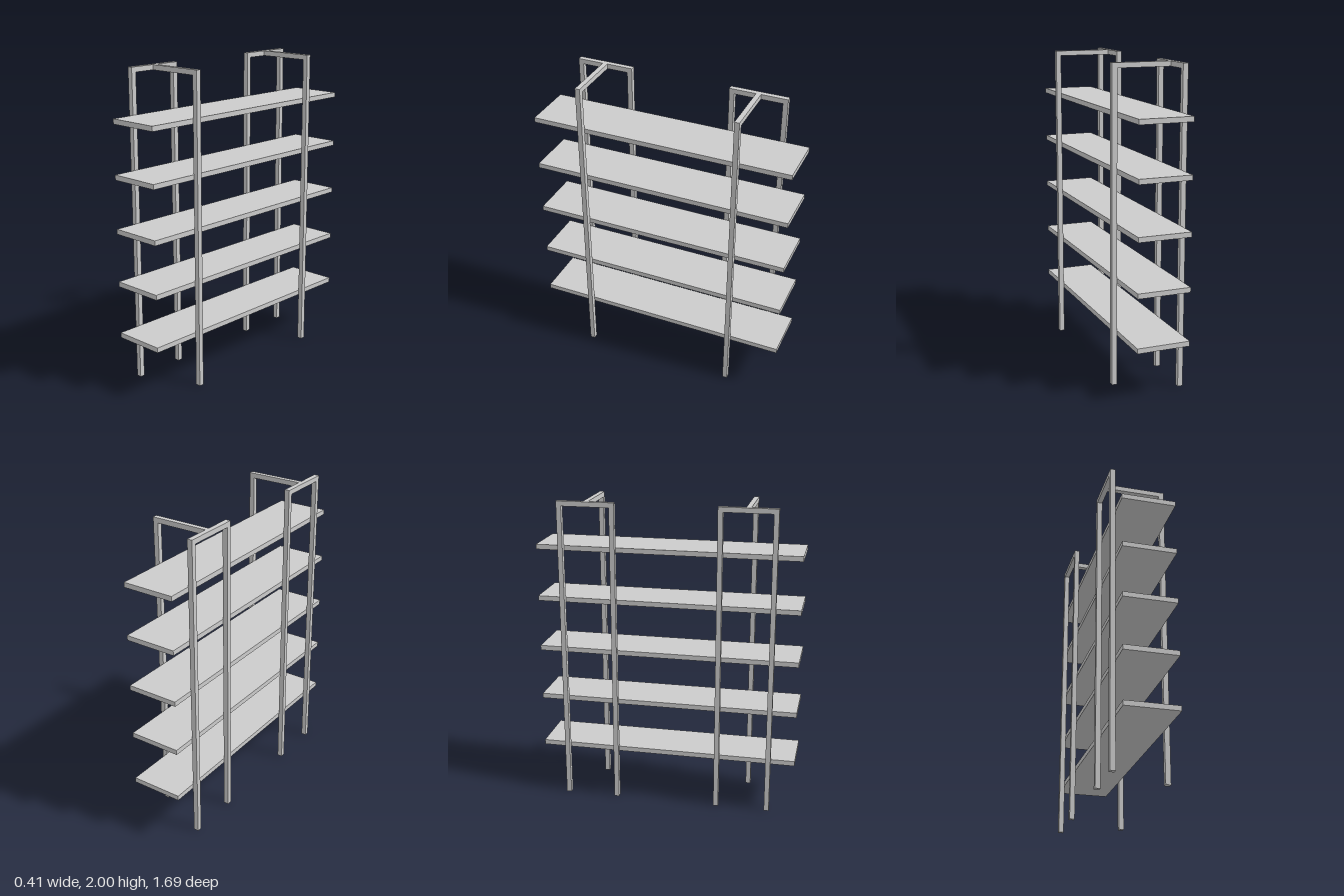
import * as THREE from 'three';

const material = new THREE.MeshStandardMaterial({ color: 0xcccccc });

// Box given by its min and max corners
function box(name, [x0, y0, z0], [x1, y1, z1]) {
  const mesh = new THREE.Mesh(new THREE.BoxGeometry(x1 - x0, y1 - y0, z1 - z0), material);
  mesh.position.set((x0 + x1) / 2, (y0 + y1) / 2, (z0 + z1) / 2);
  mesh.name = name;
  return mesh;
}

const H = 2;          // overall height
const T = 0.032;      // bar thickness
const X = 0.203;      // outer face of the posts
const XI = 0.17;      // inner face of the posts, edge of the shelves
const HALF = 0.185;   // half width of the rear hoop

// Rear hoop with two posts, plus one opposite post joined by a top bar
function supportFrame(z) {
  const frame = new THREE.Group();
  frame.name = 'supportFrame';
  for (const s of [-1, 1]) {
    const c = s * (HALF - T / 2);
    frame.add(box('hoopPost', [-X, 0, c - T / 2], [-XI, H - T, c + T / 2]));
  }
  frame.add(box('hoopTopBar', [-X, H - T, -HALF], [-XI, H, HALF]));
  frame.add(box('singlePost', [XI, 0, -T / 2], [X, H - T, T / 2]));
  frame.add(box('crossBar', [-XI, H - T, -T / 2], [X, H, T / 2]));
  frame.position.z = z;
  return frame;
}

export function createModel() {
  const model = new THREE.Group();
  model.name = 'shelvingUnit';

  for (const s of [-1, 1]) model.add(supportFrame(s * 0.508));

  // Five evenly spaced boards
  for (let i = 1; i <= 5; i++) {
    const y = i * 0.339 + 0.002;
    model.add(box('shelf', [-XI, y - T / 2, -0.847], [XI, y + T / 2, 0.847]));
  }
  return model;
}
